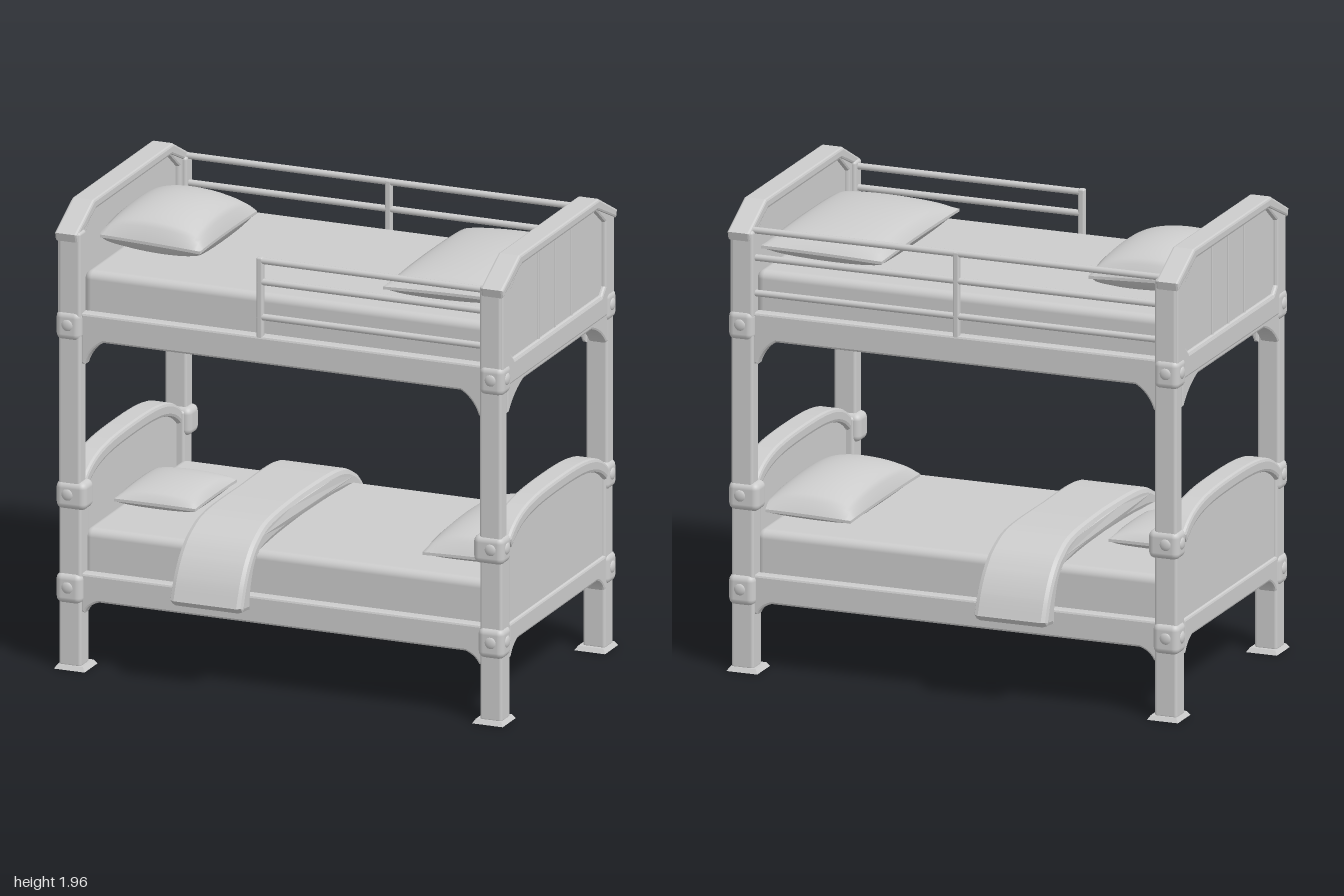
import * as THREE from 'three';
import { RoundedBoxGeometry } from 'three/addons/geometries/RoundedBoxGeometry.js';

export function createModel() {
  const root = new THREE.Group();
  root.name = 'bunkBed';
  const grey = new THREE.MeshStandardMaterial({ color: 0xcccccc });
  grey.name = 'plainGrey';

  const add = (name, geo, x = 0, y = 0, z = 0, parent = root) => {
    const m = new THREE.Mesh(geo, grey);
    m.name = name;
    m.position.set(x, y, z);
    parent.add(m);
    return m;
  };
  const box = (name, w, h, d, x, y, z, r = 0.012) =>
    add(name, new RoundedBoxGeometry(w, h, d, 3, r), x, y, z);
  const shapeOf = pts => new THREE.Shape(pts.map(p => new THREE.Vector2(p[0], p[1])));
  // Closed outline symmetric about the middle, given its right half from bottom to top
  const mirrored = half => [...half, ...half.slice().reverse().map(([a, b]) => [-a, b])];
  // Bevelled slab centred on its own thickness
  const slab = (shape, depth, bevel = 0.01) => new THREE.ExtrudeGeometry(shape, {
    depth: depth - 2 * bevel, bevelThickness: bevel, bevelSize: bevel, bevelOffset: -bevel,
    bevelSegments: 2, curveSegments: 12
  }).translate(0, 0, bevel - depth / 2);

  // Rail with curved brackets dropping at both ends
  const apron = (half, y0, y1, drop, run) => {
    const s = new THREE.Shape();
    s.moveTo(-half, y1);
    s.lineTo(-half, y0 - drop);
    s.lineTo(-half + 0.02, y0 - drop);
    s.quadraticCurveTo(-half + run * 0.42, y0 - drop * 0.32, -half + run, y0);
    s.lineTo(half - run, y0);
    s.quadraticCurveTo(half - run * 0.42, y0 - drop * 0.32, half - 0.02, y0 - drop);
    s.lineTo(half, y0 - drop);
    s.lineTo(half, y1);
    return s;
  };

  // Corner posts, feet, collars and bolt bosses
  for (const sx of [-1, 1]) for (const sz of [-1, 1]) {
    box('lowerLeg', 0.098, 0.78, 0.09, sx * 0.93, 0.4, sz * 0.533);
    box('upperPost', 0.096, 1.13, 0.068, sx * 0.93, 1.3, sz * 0.549);
    const foot = new THREE.CylinderGeometry(0.056 * Math.SQRT2, 0.068 * Math.SQRT2, 0.018, 4)
      .rotateY(Math.PI / 4).toNonIndexed();
    foot.computeVertexNormals();
    add('foot', foot, sx * 0.924, 0.009, sz * 0.528);
    for (const [y, h, w] of [[0.345, 0.13, 0.115], [0.742, 0.12, 0.135], [1.465, 0.125, 0.11]]) {
      box('collar', w, h, 0.1, sx * (0.99 - w / 2), y, sz * 0.543, 0.028);
      const boss = new THREE.SphereGeometry(0.027, 16, 10);
      add('frontBoss', boss, sx * 0.935, y + 0.005, sz * 0.588).scale.z = 0.45;
      add('sideBoss', boss, sx * 0.986, y + 0.005, sz * 0.543).scale.x = 0.45;
    }
  }

  // Long side rails
  for (const sz of [-1, 1]) {
    add('upperSideRail', slab(apron(0.89, 1.402, 1.52, 0.1, 0.1), 0.055), 0, 0, sz * 0.535);
    add('lowerSideRail', slab(apron(0.89, 0.292, 0.41, 0.05, 0.08), 0.055), 0, 0, sz * 0.535);
  }

  // Bed ends: outlines lie in the z-y plane
  const arch = (side, shoulder, top) => {
    const s = new THREE.Shape();
    s.moveTo(side, 0.36);
    s.lineTo(side, shoulder);
    s.bezierCurveTo(side * 0.82, top - 0.015, side * 0.55, top, 0, top);
    s.bezierCurveTo(-side * 0.55, top, -side * 0.82, top - 0.015, -side, shoulder);
    s.lineTo(-side, 0.36);
    return s;
  };
  const frame = shapeOf(mirrored([[0.58, 1.43], [0.58, 1.855], [0.4, 1.95]]));
  const opening = [[0.45, 1.525], [0.485, 1.56], [0.485, 1.835], [0.39, 1.908]];
  frame.holes.push(new THREE.Path(mirrored(opening).map(p => new THREE.Vector2(...p))));
  const cap = shapeOf(mirrored([[0.585, 1.825], [0.595, 1.86], [0.41, 1.957]])
    .concat([[-0.39, 1.915], [0.39, 1.915]]));
  const archRail = shapeOf(arch(0.52, 0.775, 0.89).getPoints(16).slice(1, -1)
    .map(p => [p.x, p.y]).concat(arch(0.49, 0.735, 0.832).getPoints(16).slice(1, -1)
      .reverse().map(p => [p.x, p.y])));

  for (const sx of [-1, 1]) {
    const end = new THREE.Group();
    end.name = sx < 0 ? 'rightEnd' : 'leftEnd';
    end.position.x = sx * 0.941;
    end.rotation.y = sx * Math.PI / 2;
    root.add(end);
    add('upperFrame', slab(frame, 0.085), 0, 0, 0, end);
    add('topCap', slab(cap, 0.1), 0, 0, 0, end);
    add('upperPanel', slab(shapeOf(mirrored([[0.52, 1.48], [0.52, 1.82], [0.4, 1.93]])), 0.05, 0.004), 0, 0, 0, end);
    // Battens stand on the outer face only
    for (const z of [-0.17, 0, 0.17])
      add('panelBatten', new RoundedBoxGeometry(0.014, 0.4, 0.02, 2, 0.005), z, 1.715, 0.021, end);
    add('upperEndRail', slab(apron(0.52, 1.415, 1.53, 0.1, 0.17), 0.08), 0, 0, 0, end);
    add('lowerEndRail', slab(apron(0.5, 0.325, 0.41, 0.06, 0.09), 0.08), 0, 0, 0, end);
    add('lowerPanel', slab(arch(0.51, 0.76, 0.87), 0.055, 0.006), 0, 0, 0, end);
    add('archRail', slab(archRail, 0.1, 0.014), 0, 0, 0, end);
  }

  // Mattresses on recessed base boards, inside a rim with rounded inner corners
  const rim = shapeOf(mirrored([[0.91, -0.53], [0.91, 0.53]]));
  const inner = new THREE.Path();
  const [hx, hz, r] = [0.89, 0.508, 0.09];
  inner.absarc(hx - r, hz - r, r, 0, Math.PI / 2);
  inner.absarc(r - hx, hz - r, r, Math.PI / 2, Math.PI);
  inner.absarc(r - hx, r - hz, r, Math.PI, Math.PI * 1.5);
  inner.absarc(hx - r, r - hz, r, Math.PI * 1.5, Math.PI * 2);
  rim.holes.push(inner);
  for (const [name, top, base] of [['upper', 1.684, 1.46], ['lower', 0.585, 0.357]]) {
    box(name + 'Mattress', 1.8, top - base, 1.02, 0, (top + base) / 2, 0, 0.035);
    box(name + 'Base', 1.84, 0.02, 1.05, 0, base, 0, 0.005);
    add(name + 'BaseRim', slab(rim, 0.04, 0.004).rotateX(Math.PI / 2), 0, base - 0.013, 0);
  }

  // Guard rails: short one at the front, full length at the back
  const bar = (name, x0, x1, y, z) => add(name,
    new THREE.CylinderGeometry(0.014, 0.014, x1 - x0, 12).rotateZ(Math.PI / 2), (x0 + x1) / 2, y, z);
  for (const y of [1.6, 1.75, 1.84]) bar('frontGuardBar', -0.11, 0.9, y, 0.547);
  box('frontGuardPost', 0.028, 0.35, 0.028, -0.1, 1.68, 0.547, 0.008);
  for (const y of [1.6, 1.75, 1.865]) bar('backGuardBar', -0.9, 0.9, y, -0.547);
  box('backGuardPost', 0.028, 0.37, 0.028, 0, 1.69, -0.547, 0.008);

  // Puffed pillow: fullness falls to a thin seam, sides bow in between the corners
  const pillow = (name, x, y, z, w, d, up, down, tilt) => {
    const g = new THREE.BoxGeometry(2, 2, 2, 24, 1, 24);
    const p = g.attributes.position;
    for (let i = 0; i < p.count; i++) {
      const u = p.getX(i), v = p.getZ(i), a = 1 - u * u, b = 1 - v * v;
      const puff = Math.pow(Math.max(a * b, 0), 0.42);
      p.setXYZ(i, u * (1 - 0.03 * b) * w / 2,
        p.getY(i) > 0 ? 0.006 + up * puff : -0.006 - down * puff, v * (1 - 0.02 * a) * d / 2);
    }
    g.computeVertexNormals();
    add(name, g, x, y, z).rotation.z = tilt;
  };
  pillow('upperRightPillow', -0.7, 1.758, 0, 0.45, 0.59, 0.122, 0.075, -0.04);
  pillow('upperLeftPillow', 0.65, 1.75, 0, 0.53, 0.83, 0.075, 0.065, 0.02);
  pillow('lowerRightPillow', -0.71, 0.62, 0, 0.36, 0.43, 0.055, 0.035, 0);
  pillow('lowerLeftPillow', 0.74, 0.622, 0, 0.4, 0.74, 0.11, 0.035, 0.02);

  // Folded blanket draped across the lower bed
  const drape = new THREE.Shape();
  drape.moveTo(-0.685, 0.385);
  drape.splineThru([[-0.645, 0.48], [-0.585, 0.565], [-0.5, 0.63], [-0.35, 0.675], [0, 0.684],
    [0.35, 0.675], [0.5, 0.63], [0.585, 0.565], [0.645, 0.48], [0.685, 0.385]]
    .map(p => new THREE.Vector2(...p)));
  drape.lineTo(0.66, 0.36);
  drape.lineTo(0.575, 0.35);
  drape.splineThru([[0.562, 0.45], [0.5, 0.55], [0.35, 0.58], [0, 0.585],
    [-0.35, 0.58], [-0.5, 0.55], [-0.562, 0.45], [-0.575, 0.35]].map(p => new THREE.Vector2(...p)));
  drape.lineTo(-0.66, 0.36);
  const blanket = slab(drape, 0.31, 0.022).rotateY(Math.PI / 2);
  // Ends flare slightly wider than the middle
  const bp = blanket.attributes.position;
  for (let i = 0; i < bp.count; i++)
    bp.setX(i, bp.getX(i) * (0.94 + 0.1 * Math.min(1, Math.abs(bp.getZ(i)) / 0.65)));
  blanket.computeVertexNormals();
  add('blanket', blanket, -0.287, 0, 0);

  return root;
}
